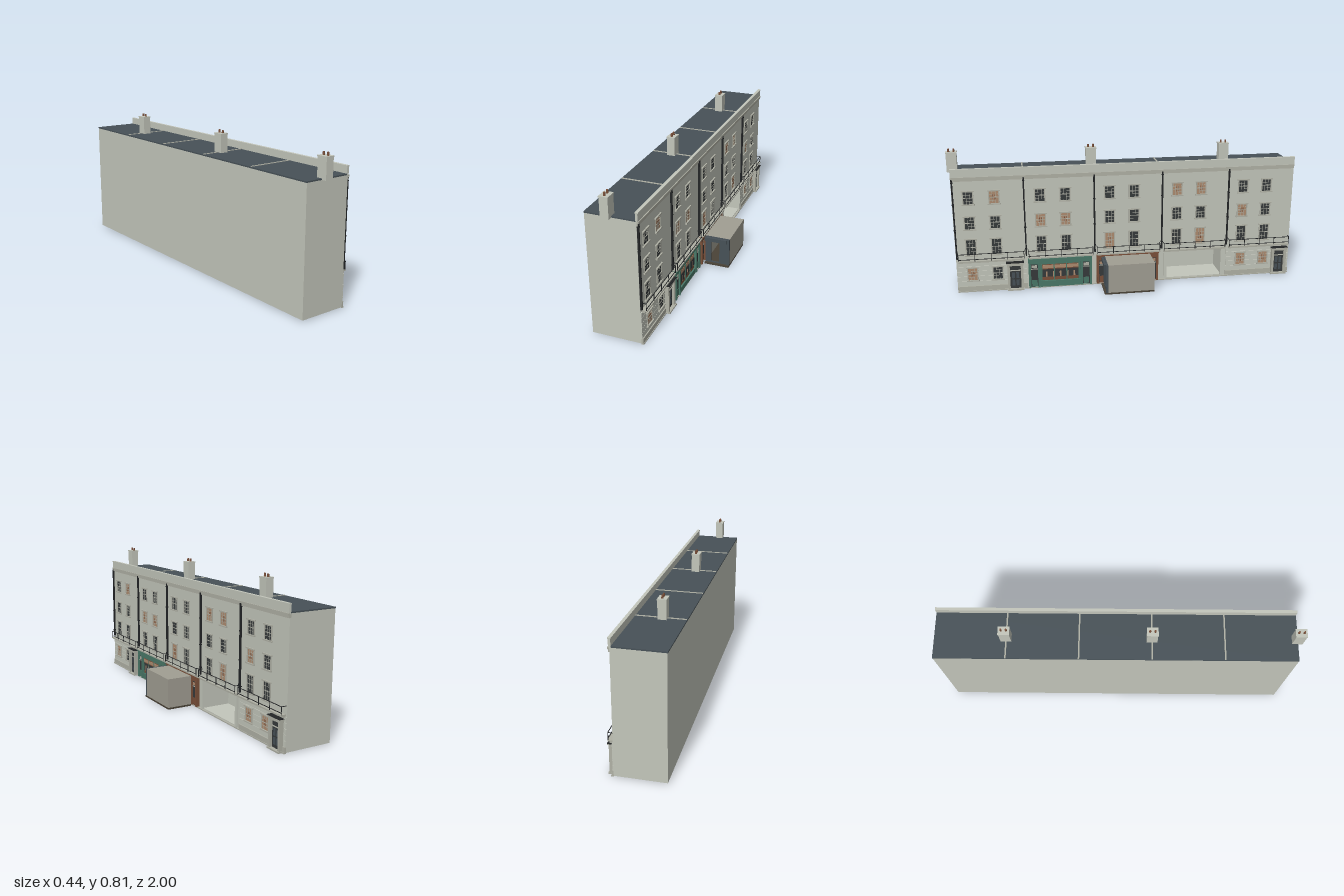
import * as THREE from 'three';

const mat = (name, color, side = THREE.FrontSide) => {
  const m = new THREE.MeshStandardMaterial({ color, side });
  m.name = name;
  return m;
};

export function createModel() {
  const wall = mat('stucco', 0xc3c6bb), trim = mat('stone trim', 0xb0b1a5), slate = mat('slate', 0x475157);
  const iron = mat('black iron', 0x222426), glass = mat('dark glass', 0x363a3b), green = mat('green paint', 0x4a7868);
  const brown = mat('brown wood', 0x7a503a), tan = mat('lit curtain', 0xae8c70), taupe = mat('taupe render', 0xa19e93);
  const floorMat = mat('dark floor', 0x4a4337);

  const root = new THREE.Group();
  root.name = 'terrace';
  const group = (name, parent = root) => {
    const g = new THREE.Group();
    g.name = name;
    parent.add(g);
    return g;
  };
  // box given by its limits along x, y and z
  const box = (parent, name, m, x0, x1, y0, y1, z0, z1) => {
    const mesh = new THREE.Mesh(new THREE.BoxGeometry(x1 - x0, y1 - y0, Math.abs(z1 - z0)), m);
    mesh.position.set((x0 + x1) / 2, (y0 + y1) / 2, (z0 + z1) / 2);
    mesh.name = name;
    parent.add(mesh);
    return mesh;
  };

  const FACE = 0.047, W = 0.395, START = 0.972, END = -1;
  const starts = [0, 1, 2, 3, 4].map(i => START - i * W);

  // main block, left open around the empty shop of the fourth house
  const body = group('building');
  const openA = -0.236, openB = -0.582;
  box(body, 'rearBlock', wall, -0.22, -0.12, 0.005, 0.676, END, START);
  box(body, 'upperFront', wall, -0.12, FACE, 0.18, 0.676, END, START);
  box(body, 'groundFrontLeft', wall, -0.12, FACE, 0.005, 0.18, openA, START);
  box(body, 'groundFrontRight', wall, -0.12, FACE, 0.005, 0.18, END, openB);
  box(body, 'emptyShopFloor', wall, -0.124, FACE, 0, 0.01, openB, openA);
  for (const z of [openA, openB]) box(body, 'openingJamb', wall, FACE, 0.058, 0.005, 0.185, z - 0.008, z + 0.008);

  // roof, parapet and cornice
  const roof = group('roof');
  box(roof, 'roofSlab', slate, -0.222, 0.042, 0.676, 0.683, END, START);
  box(roof, 'parapet', wall, 0.041, 0.053, 0.676, 0.717, END, START);
  box(roof, 'coping', wall, 0.039, 0.056, 0.717, 0.723, END, START);
  box(roof, 'cornice', trim, 0.04, 0.058, 0.667, 0.677, END, START);
  box(roof, 'corniceMoulding', trim, 0.04, 0.053, 0.654, 0.667, END, START);
  starts.slice(1).forEach(z => box(roof, 'partyWall', trim, -0.22, 0.041, 0.68, 0.686, z - 0.004, z + 0.004));

  // chimneys with two pots each
  for (const z of [0.968, 0.182, -0.608]) {
    const c = group('chimney');
    box(c, 'stack', wall, -0.124, -0.079, 0.676, 0.785, z - 0.029, z + 0.029);
    box(c, 'stackCap', wall, -0.126, -0.077, 0.782, 0.789, z - 0.031, z + 0.031);
    for (const d of [-0.014, 0.014]) {
      const pot = new THREE.Mesh(new THREE.CylinderGeometry(0.005, 0.006, 0.018, 12), brown);
      pot.position.set(-0.101, 0.797, z + d);
      pot.name = 'chimneyPot';
      c.add(pot);
    }
  }

  // sash window centred on (y, z)
  const sash = (x, y, z, h, lit) => {
    const g = group('window'), w = 0.052, a = y - h / 2, b = y + h / 2;
    box(g, 'pane', lit ? tan : glass, x - 0.002, x + 0.001, a, b, z - w / 2, z + w / 2);
    for (const s of [-1, 1]) {
      box(g, 'jamb', trim, x - 0.002, x + 0.004, a, b, z + s * (w / 2 + 0.002) - 0.003, z + s * (w / 2 + 0.002) + 0.003);
      box(g, 'bar', trim, x, x + 0.002, a, b, z + s * 0.009 - 0.001, z + s * 0.009 + 0.001);
    }
    box(g, 'meetingRail', trim, x, x + 0.003, y - 0.0018, y + 0.0018, z - w / 2, z + w / 2);
    for (const s of [-1, 1]) box(g, 'bar', trim, x, x + 0.002, y + s * h / 4 - 0.0007, y + s * h / 4 + 0.0007, z - w / 2, z + w / 2);
    if (lit) for (const s of [-1, 1]) box(g, 'curtainGap', brown, x, x + 0.0015, y - h * 0.2, y + h * 0.2, z + s * 0.006 - 0.002, z + s * 0.006 + 0.002);
    box(g, 'lintel', trim, x - 0.002, x + 0.008, b, b + 0.007, z - 0.036, z + 0.036);
    box(g, 'sill', trim, x - 0.002, x + 0.009, a - 0.007, a, z - 0.036, z + 0.036);
  };
  // upper floors: one letter per window, L = lit
  [[0.557, 0.07, 'DLDDDDLLDD'], [0.411, 0.07, 'DDLLDDDDLD'], [0.267, 0.092, 'DDDDLDDLDD']].forEach(([y, h, lit]) => {
    starts.forEach((z, i) => [0.088, 0.23].forEach((d, k) => sash(FACE, y, z - d, h, lit[i * 2 + k] === 'L')));
  });

  // downpipes at the house joints
  [START - 0.006, ...starts.slice(1)].forEach(z => {
    const p = group('downpipe');
    box(p, 'pipe', iron, FACE, 0.057, 0.2, 0.665, z - 0.004, z + 0.004);
    for (const y of [0.24, 0.37, 0.52, 0.645]) box(p, 'collar', iron, FACE, 0.058, y, y + 0.006, z - 0.006, z + 0.006);
  });

  // balconies with railings
  starts.forEach(z => {
    const g = group('balcony'), a = z - 0.012, b = z - W + 0.012;
    box(g, 'slab', trim, FACE, 0.076, 0.186, 0.193, b, a);
    box(g, 'slabMoulding', trim, FACE, 0.066, 0.179, 0.186, b, a);
    for (const y of [0.201, 0.233]) box(g, 'rail', iron, 0.0715, 0.0745, y, y + 0.003, b, a);
    for (let k = 0; k < 5; k++) {
      const pz = a - 0.002 + (b - a + 0.004) * k / 4;
      box(g, 'post', iron, 0.0715, 0.0745, 0.193, 0.236, pz - 0.0015, pz + 0.0015);
    }
    for (const e of [a, b]) box(g, 'endRail', iron, FACE, 0.073, 0.233, 0.236, e - 0.0015, e + 0.0015);
  });

  // ground floor of the two end houses: banded stucco, windows and doorcase
  [[0, 'LD'], [4, 'LL']].forEach(([i, lit]) => {
    const g = group('houseGroundFloor'), z = starts[i], e = Math.max(z - W, END);
    for (let k = 0; k < 5; k++) box(g, 'course', wall, FACE, 0.052, 0.034 + k * 0.03, 0.0622 + k * 0.03, e, z);
    box(g, 'plinth', trim, FACE, 0.057, 0.005, 0.033, e, z);
    [0.088, 0.23].forEach((d, k) => sash(0.053, 0.107, z - d, 0.072, lit[k] === 'L'));
    const d = z - 0.328;
    const door = group('doorcase', g);
    box(door, 'doorLeaf', glass, FACE, 0.06, 0.008, 0.148, d - 0.031, d + 0.031);
    for (const s of [-1, 1]) {
      box(door, 'pilaster', trim, FACE, 0.074, 0.005, 0.15, d + s * 0.038 - 0.007, d + s * 0.038 + 0.007);
      for (const y of [0.025, 0.07]) box(door, 'doorPanel', slate, 0.06, 0.062, y, y + 0.036, d + s * 0.012 - 0.008, d + s * 0.012 + 0.008);
    }
    box(door, 'transom', trim, 0.06, 0.064, 0.115, 0.12, d - 0.031, d + 0.031);
    box(door, 'entablature', trim, FACE, 0.075, 0.15, 0.162, d - 0.047, d + 0.047);
    box(door, 'canopy', trim, FACE, 0.08, 0.162, 0.168, d - 0.05, d + 0.05);
    box(door, 'canopyLead', iron, FACE, 0.081, 0.168, 0.171, d - 0.05, d + 0.05);
    box(door, 'step', trim, FACE, 0.08, 0, 0.008, d - 0.047, d + 0.047);
  });

  // two painted shopfronts: central window between two doors
  [[1, green], [2, brown]].forEach(([i, paint]) => {
    const g = group('shopfront'), a = starts[i] - 0.008, b = starts[i] - W + 0.02, c = (a + b) / 2;
    box(g, 'backing', paint, FACE, 0.056, 0.005, 0.182, b, a);
    box(g, 'fascia', paint, FACE, 0.064, 0.153, 0.176, b, a);
    box(g, 'fasciaCornice', paint, FACE, 0.07, 0.176, 0.182, b, a);
    box(g, 'stallRiser', paint, FACE, 0.061, 0.005, 0.04, c - 0.115, c + 0.115);
    box(g, 'shopGlass', brown, 0.056, 0.058, 0.045, 0.142, c - 0.108, c + 0.108);
    box(g, 'litTransom', tan, 0.058, 0.059, 0.118, 0.138, c - 0.104, c + 0.104);
    box(g, 'lowerGlass', glass, 0.058, 0.059, 0.065, 0.112, c - 0.104, c + 0.104);
    for (let k = 0; k < 5; k++) {
      const z = c - 0.08 + k * 0.04;
      box(g, 'displayItem', tan, 0.059, 0.06, 0.066, 0.098, z - 0.005, z + 0.005);
    }
    for (let k = 0; k < 4; k++) {
      const z = c - 0.108 + k * 0.072;
      box(g, 'mullion', paint, 0.056, 0.062, 0.04, 0.145, z - 0.003, z + 0.003);
    }
    box(g, 'shopSill', paint, FACE, 0.066, 0.036, 0.043, c - 0.115, c + 0.115);
    for (const s of [-1, 1]) {
      const z = c + s * 0.15;
      box(g, 'shopDoor', glass, 0.056, 0.058, 0.01, 0.145, z - 0.02, z + 0.02);
      box(g, 'kickPanel', paint, 0.058, 0.06, 0.012, 0.05, z - 0.016, z + 0.016);
      box(g, 'doorRail', trim, 0.058, 0.06, 0.115, 0.12, z - 0.02, z + 0.02);
      box(g, 'doorLight', paint === green ? trim : tan, 0.058, 0.059, 0.124, 0.141, z - 0.016, z + 0.016);
      for (const t of [-1, 1]) box(g, 'shopPilaster', paint, FACE, 0.067, 0.005, 0.153, z + t * 0.026 - 0.006, z + t * 0.026 + 0.006);
    }
  });
  box(body, 'shopKerb', trim, FACE, 0.06, 0, 0.006, END, START);

  // box-shaped room standing on the pavement, its front facing +z
  const room = group('projectingShop'), x0 = 0.072, x1 = 0.219, zb = -0.14, zf = 0.127;
  box(room, 'roomFloor', floorMat, x0, x1, 0, 0.01, zb, 0.148);
  box(room, 'roomRoof', taupe, x0, x1, 0.17, 0.177, zb, zf);
  box(room, 'outerWall', taupe, x1 - 0.005, x1, 0.01, 0.17, zb, zf);
  box(room, 'innerWall', taupe, x0, x0 + 0.005, 0.01, 0.17, zb, zf);
  box(room, 'rearWall', taupe, x0, x1, 0.01, 0.17, zb, zb + 0.005);
  box(room, 'frontPanelLeft', slate, x0, 0.107, 0.01, 0.177, zf, zf + 0.008);
  box(room, 'frontPanelRight', slate, 0.158, x1, 0.01, 0.177, zf, zf + 0.008);
  box(room, 'frontHead', slate, 0.107, 0.158, 0.15, 0.177, zf, zf + 0.008);
  box(room, 'fascia', slate, x0, 0.203, 0.152, 0.174, zf + 0.008, 0.148);
  box(room, 'pier', slate, 0.203, x1, 0.01, 0.177, zf + 0.008, 0.14);
  box(room, 'threshold', slate, 0.107, 0.158, 0.01, 0.015, zf, zf + 0.008);
  box(room, 'counter', brown, 0.143, 0.19, 0.01, 0.06, -0.06, 0.08);

  return root;
}
